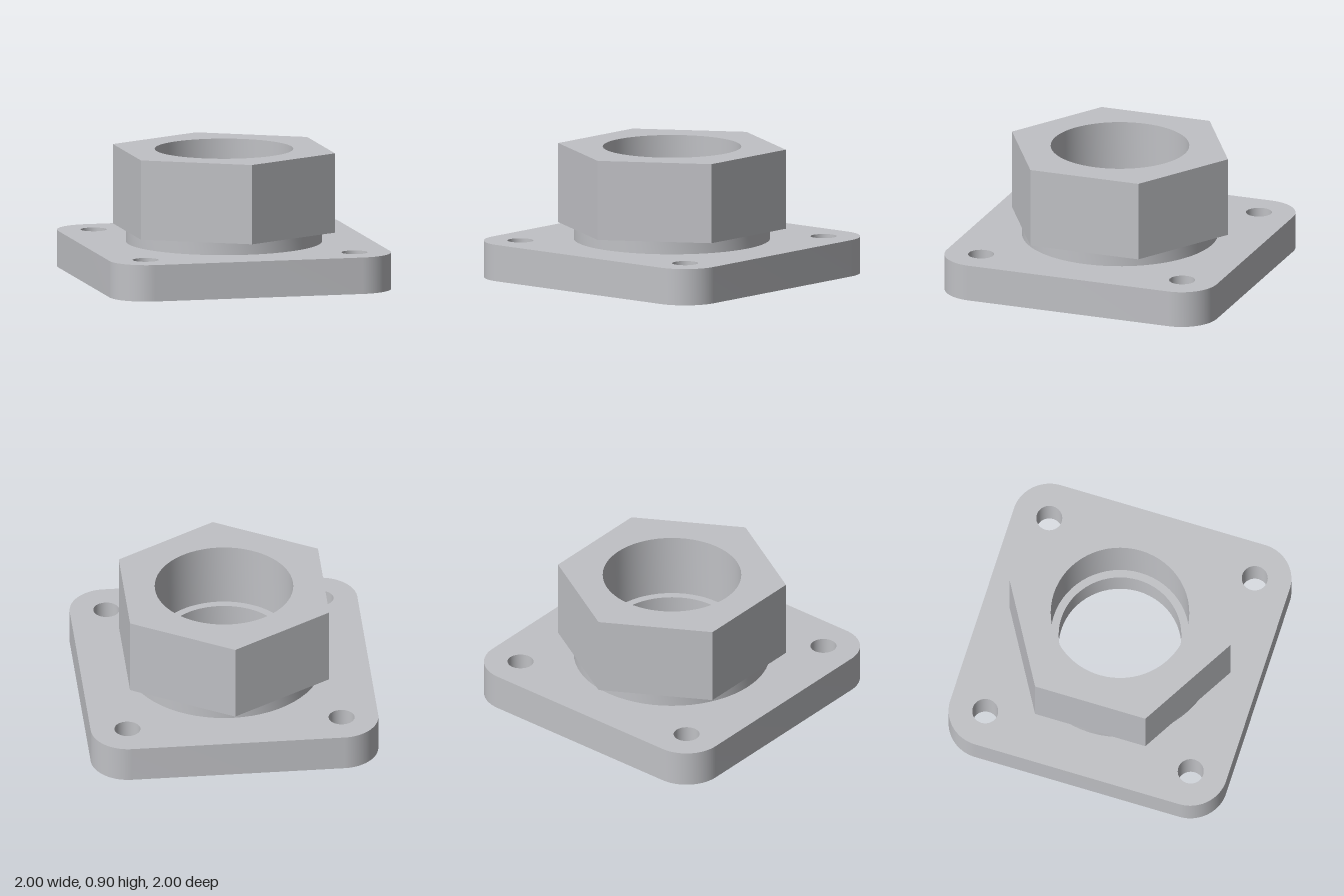
import * as THREE from 'three';
import { toCreasedNormals } from 'three/addons/utils/BufferGeometryUtils.js';

const CREASE = 0.5;

function circlePath(x, y, r) {
  const path = new THREE.Path();
  path.absarc(x, y, r, 0, Math.PI * 2, true);
  return path;
}

// Extrudes a plan shape upwards from y0 to y1.
function slab(shape, y0, y1) {
  const geo = new THREE.ExtrudeGeometry(shape, { depth: y1 - y0, bevelEnabled: false, curveSegments: 32 });
  geo.rotateX(-Math.PI / 2);
  geo.translate(0, y0, 0);
  return toCreasedNormals(geo, CREASE);
}

function turned(points) {
  const profile = points.map(([r, y]) => new THREE.Vector2(r, y));
  return toCreasedNormals(new THREE.LatheGeometry(profile, 64), CREASE);
}

export function createModel() {
  const group = new THREE.Group();
  const steel = new THREE.MeshStandardMaterial({ color: 0xc0c1c5 });
  steel.name = 'light grey steel';
  const add = (name, geometry) => {
    const mesh = new THREE.Mesh(geometry, steel);
    mesh.name = name;
    group.add(mesh);
  };

  // Square mounting plate with rounded corners and four bolt holes
  const c = 0.74, r = 0.26;
  const plate = new THREE.Shape();
  plate.absarc(c, c, r, 0, Math.PI / 2, false);
  plate.absarc(-c, c, r, Math.PI / 2, Math.PI, false);
  plate.absarc(-c, -c, r, Math.PI, Math.PI * 1.5, false);
  plate.absarc(c, -c, r, Math.PI * 1.5, Math.PI * 2, false);
  plate.closePath();
  plate.holes.push(circlePath(0, 0, 0.85));
  for (const x of [-0.745, 0.745]) {
    for (const y of [-0.745, 0.745]) plate.holes.push(circlePath(x, y, 0.09));
  }
  add('mountingPlate', slab(plate, 0, 0.255));

  // Round collar between plate and hexagon
  add('collar', turned([[0.85, 0.255], [0.68, 0.255], [0.68, 0.345]]));

  // Stepped bore and the recess under the plate
  add('steppedBore', turned([
    [0.48, 0.45], [0.425, 0.45], [0.425, 0.22], [0.555, 0.22], [0.555, 0.12], [0.85, 0.12],
  ]));

  // Hexagonal head with its wider upper bore
  const hex = new THREE.Shape();
  for (let i = 0; i < 6; i++) {
    const a = Math.PI / 2 + i * Math.PI / 3;
    const x = 0.8 * Math.cos(a), y = 0.8 * Math.sin(a);
    if (i === 0) hex.moveTo(x, y); else hex.lineTo(x, y);
  }
  hex.closePath();
  hex.holes.push(circlePath(0, 0, 0.48));
  add('hexHead', slab(hex, 0.345, 0.9));

  return group;
}
